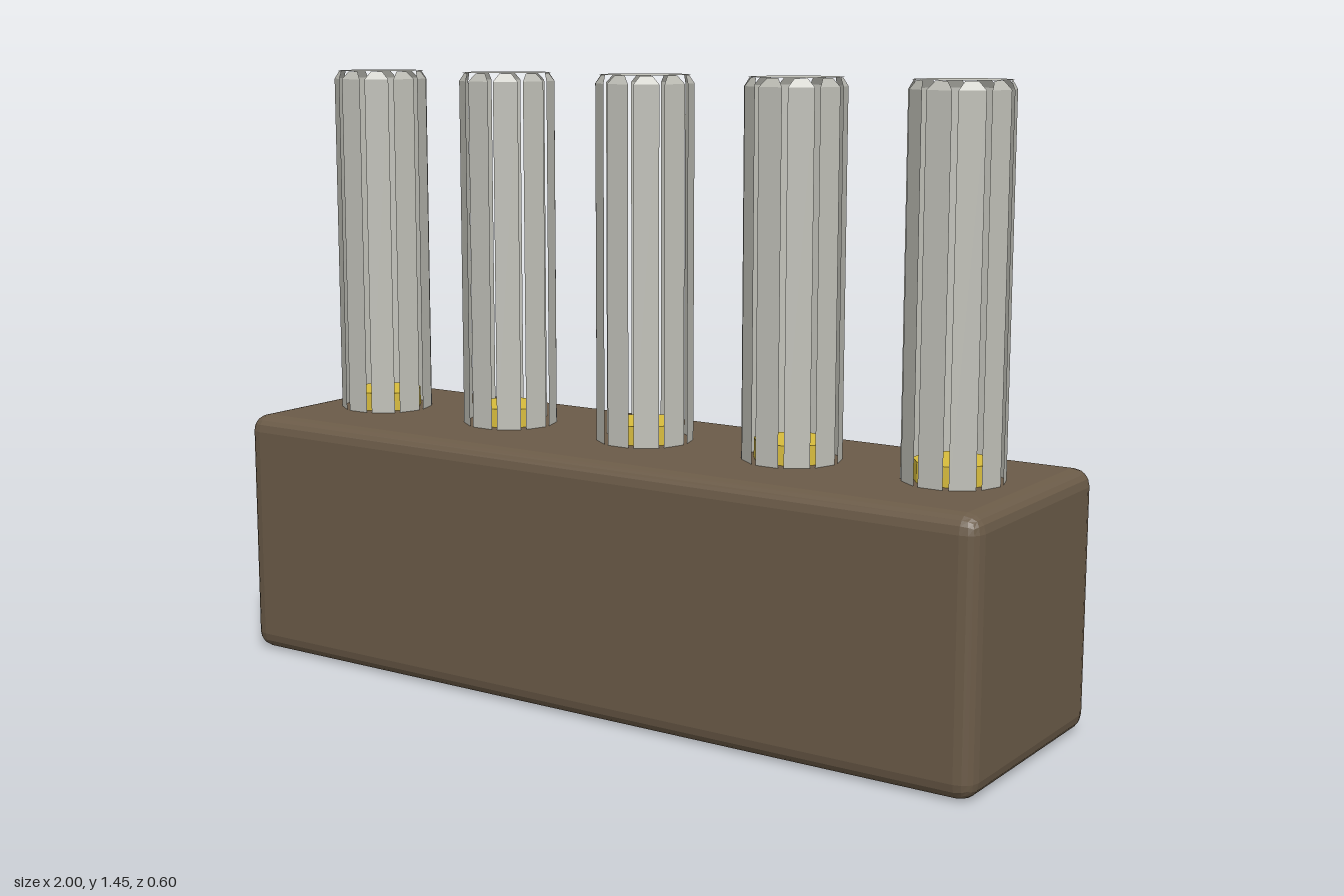
import * as THREE from 'three';
import { RoundedBoxGeometry } from 'three/addons/geometries/RoundedBoxGeometry.js';

const SIDES = 10;

// Slatted tube: flat slats with gaps, each with a tapered bevel leaning in to the cap
function slatGeometry(radius, halfWidth, y0, y1, capRadius, capY, capHalfWidth) {
  const pos = [];
  const index = [];
  for (let i = 0; i < SIDES; i++) {
    const a = (i / SIDES) * Math.PI * 2;
    const s = Math.sin(a), c = Math.cos(a);
    const put = (w, y, r) => pos.push(r * s + w * c, y, r * c - w * s);
    const b = pos.length / 3;
    for (const [w, y, r] of [[halfWidth, y0, radius], [halfWidth, y1, radius], [capHalfWidth, capY, capRadius]]) {
      put(-w, y, r);
      put(w, y, r);
    }
    for (const k of [b, b + 2]) index.push(k, k + 1, k + 3, k, k + 3, k + 2);
  }
  const g = new THREE.BufferGeometry();
  g.setAttribute('position', new THREE.Float32BufferAttribute(pos, 3));
  g.setIndex(index);
  const flat = g.toNonIndexed();
  flat.computeVertexNormals();
  return flat;
}

function capGeometry(radius, y) {
  const g = new THREE.CircleGeometry(radius, SIDES * 2);
  g.rotateX(-Math.PI / 2);
  g.translate(0, y, 0);
  return g;
}

export function createModel() {
  const model = new THREE.Group();
  model.name = 'pinHeader';

  const material = (name, color, extra = {}) => {
    const m = new THREE.MeshStandardMaterial({ color, ...extra });
    m.name = name;
    return m;
  };
  const brown = material('brown', 0x6b5b48, { flatShading: true });
  const grey = material('grey', 0xc0c0b8, { side: THREE.DoubleSide, flatShading: true });
  const gold = material('gold', 0xd8bc3c, { side: THREE.DoubleSide, flatShading: true });

  const add = (parent, name, geometry, mat) => {
    const mesh = new THREE.Mesh(geometry, mat);
    mesh.name = name;
    parent.add(mesh);
    return mesh;
  };

  // Bevelled block
  add(model, 'base', new RoundedBoxGeometry(2, 0.6, 0.6, 2, 0.04), brown).position.y = 0.3;

  // Five slatted posts, each with a flat cap and a gold collar inside its foot
  const slats = slatGeometry(0.11, 0.029, 0.58, 1.43, 0.101, 1.449, 0.014);
  const cap = capGeometry(0.106, 1.45);
  const collar = new THREE.CylinderGeometry(0.088, 0.088, 0.07, SIDES);
  collar.translate(0, 0.61, 0);
  for (let i = 0; i < 5; i++) {
    const post = new THREE.Group();
    post.name = 'post' + (i + 1);
    post.position.x = -0.8 + i * 0.4;
    add(post, 'slats', slats, grey);
    add(post, 'cap', cap, grey);
    add(post, 'collar', collar, gold);
    model.add(post);
  }
  return model;
}
